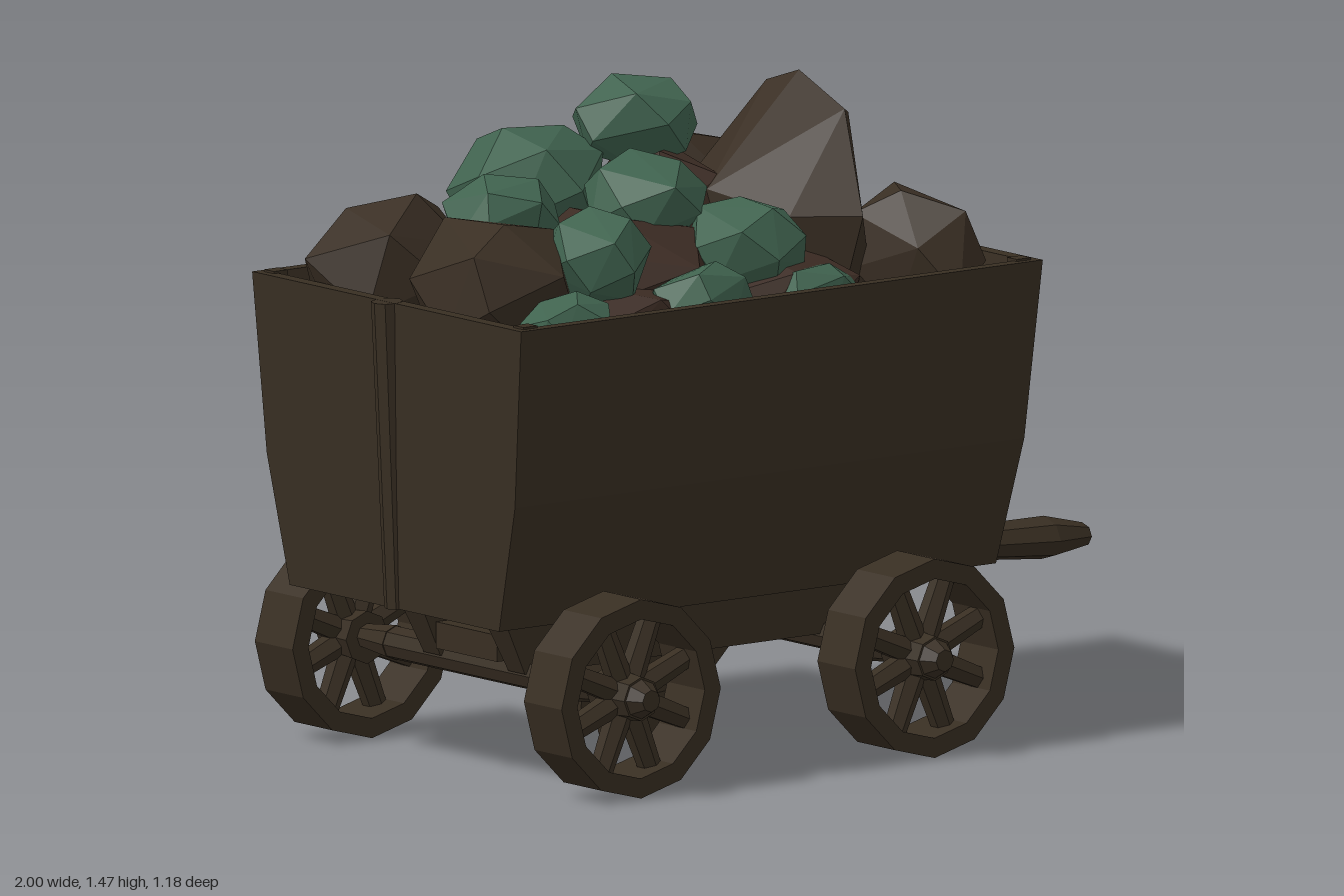
import * as THREE from 'three';
import { ConvexGeometry } from 'three/addons/geometries/ConvexGeometry.js';

function material(name, color) {
  const m = new THREE.MeshStandardMaterial({ color });
  m.name = name;
  return m;
}
const wood = material('dark wood', 0x382e22);
const stone = material('brown stone', 0x392e23);
const earth = material('reddish rubble', 0x3b2b23);
const ore = material('green ore', 0x40634f);

// Faceted mesh: hard edges through split vertices
function part(name, geometry, mat, parent) {
  const g = geometry.index ? geometry.toNonIndexed() : geometry;
  g.computeVertexNormals();
  const mesh = new THREE.Mesh(g, mat);
  mesh.name = name;
  parent.add(mesh);
  return mesh;
}

// Closed skin through rectangular rings [x0, x1, zBack, zFront, y]
function loft(rings) {
  const pos = [];
  const loops = rings.map(([x0, x1, zb, zf, y]) =>
    [[x0, y, zf], [x1, y, zf], [x1, y, zb], [x0, y, zb]]);
  const quad = (a, b, c, d) => [a, b, c, a, c, d].forEach((p) => pos.push(...p));
  for (let i = 0; i < loops.length - 1; i++) {
    for (let j = 0; j < 4; j++) {
      const k = (j + 1) % 4;
      quad(loops[i][j], loops[i][k], loops[i + 1][k], loops[i + 1][j]);
    }
  }
  const first = loops[0], last = loops[loops.length - 1];
  quad(first[3], first[2], first[1], first[0]);
  quad(...last);
  const g = new THREE.BufferGeometry();
  g.setAttribute('position', new THREE.Float32BufferAttribute(pos, 3));
  return g;
}

// Round bar between two points
function bar(a, b, ra, rb, sides = 8) {
  const A = new THREE.Vector3(...a), B = new THREE.Vector3(...b);
  const d = B.clone().sub(A);
  const g = new THREE.CylinderGeometry(rb, ra, d.length(), sides);
  g.applyQuaternion(new THREE.Quaternion().setFromUnitVectors(
    new THREE.Vector3(0, 1, 0), d.normalize()));
  const m = A.add(B).multiplyScalar(0.5);
  return g.translate(m.x, m.y, m.z);
}

function seeded(seed) {
  let s = seed * 7919 + 17;
  return () => (s = (s * 16807) % 2147483647) / 2147483647;
}

// Chunky boulder: hull of jittered points spread over an ellipsoid
function rock(seed, [x, y, z], [rx, ry, rz]) {
  const rnd = seeded(seed), pts = [], n = 16, turn = rnd() * 6;
  for (let i = 0; i < n; i++) {
    const v = 1 - 2 * (i + 0.5) / n, a = i * 2.4 + turn + rnd() * 0.5;
    const h = Math.sqrt(1 - v * v), r = 1.02 + rnd() * 0.18;
    pts.push(new THREE.Vector3(h * Math.cos(a) * rx * r, v * ry * r, h * Math.sin(a) * rz * r));
  }
  return new ConvexGeometry(pts).translate(x, y, z);
}

// Half depth of the back wall at a height
const wallZ = (y) => y > 0.68 ? 0.44 + (y - 0.68) * 0.1 : 0.37 + (y - 0.39) * 0.241;

function makeWheel() {
  const wheel = new THREE.Group();
  const section = [[0.18, -0.068], [0.225, -0.068], [0.225, 0.068], [0.18, 0.068], [0.18, -0.068]]
    .map((p) => new THREE.Vector2(...p));
  part('rim', new THREE.LatheGeometry(section, 12).rotateX(Math.PI / 2), wood, wheel);
  for (let i = 0; i < 8; i++) {
    const a = (i + 0.5) * Math.PI / 4, c = Math.cos(a), s = Math.sin(a);
    part('spoke', bar([c * 0.02, s * 0.02, 0.01], [c * 0.195, s * 0.195, 0.01], 0.032, 0.026, 6), wood, wheel);
  }
  part('hub', bar([0, 0, -0.05], [0, 0, 0.07], 0.06, 0.05), wood, wheel);
  part('hubCap', bar([0, 0, 0.07], [0, 0, 0.105], 0.045, 0.025), wood, wheel);
  return wheel;
}

export function createModel() {
  const cart = new THREE.Group();
  cart.name = 'oreCart';

  // Open body with flared walls
  part('body', loft([
    [-0.95, 0.455, -0.37, 0.385, 0.39],
    [-0.96, 0.48, -0.44, 0.455, 0.68],
    [-0.97, 0.505, -0.48, 0.49, 1.085],
    [-0.937, 0.472, -0.45, 0.46, 1.085],
    [-0.93, 0.46, -0.425, 0.435, 0.95],
  ]), wood, cart);

  // Posts on the end walls and at the inner corners
  part('endPost', bar([0.44, 0.37, 0], [0.495, 1.085, 0], 0.033, 0.036), wood, cart);
  part('endPost', bar([-0.935, 0.39, 0], [-0.965, 1.085, 0], 0.03, 0.036), wood, cart);
  for (const x of [-0.93, 0.465]) for (const z of [-0.445, 0.455]) {
    part('cornerPost', new THREE.BoxGeometry(0.04, 0.14, 0.035).translate(x, 1.02, z), wood, cart);
  }

  // Splintered boards on the back wall
  const boards = [
    [[0.35, 1.03], [0.2, 1.0], [-0.04, 0.79], [0.09, 0.69], [0.24, 0.83]],
    [[0.2, 0.68], [0.0, 0.68], [-0.25, 0.5]],
  ];
  for (const outline of boards) {
    const shape = new THREE.Shape(outline.map((p) => new THREE.Vector2(...p)));
    const g = new THREE.ExtrudeGeometry(shape, { depth: 0.02, bevelEnabled: false });
    const p = g.attributes.position;
    for (let i = 0; i < p.count; i++) p.setZ(i, p.getZ(i) - wallZ(p.getY(i)) - 0.012);
    part('splinteredBoard', g, wood, cart);
  }

  // Underframe rails, cross boards and axles
  for (const z of [-0.15, 0.155]) {
    part('frameRail', loft([
      [-0.72, 0.19, z - 0.03, z + 0.03, 0.24],
      [-0.8, 0.28, z - 0.042, z + 0.042, 0.4],
    ]), wood, cart);
  }
  for (const x of [-0.68, 0.15]) {
    part('axleBlock', new THREE.BoxGeometry(0.12, 0.06, 0.22).translate(x, 0.29, 0), wood, cart);
    part('axle', bar([x, 0.235, -0.34], [x, 0.235, 0.34], 0.038, 0.038), wood, cart);
    for (const side of [-1, 1]) {
      part('axleEnd', bar([x, 0.235, side * 0.33], [x, 0.235, side * 0.46], 0.04, 0.026), wood, cart);
      const wheel = makeWheel();
      wheel.name = 'wheel';
      wheel.position.set(x, 0.232, side * 0.485);
      if (side < 0) wheel.rotation.y = Math.PI;
      cart.add(wheel);
    }
  }

  // Brake bracket with three prongs under the middle
  part('brakeBracket', loft([
    [-0.36, -0.21, -0.1, 0.1, 0.13],
    [-0.38, -0.2, -0.11, 0.11, 0.24],
    [-0.42, -0.12, -0.09, 0.09, 0.34],
  ]), wood, cart);
  for (const [z, dz] of [[0.08, 0.01], [-0.015, 0], [-0.09, -0.02]]) {
    part('brakeProng', loft([
      [-0.345, -0.215, z + dz - 0.013, z + dz + 0.013, 0.035],
      [-0.36, -0.21, z - 0.024, z + 0.024, 0.14],
    ]), wood, cart);
  }

  // Pull handle
  const grip = [[0, 0], [0.04, 0], [0.028, 0.15], [0.034, 0.25], [0.046, 0.35], [0.057, 0.57], [0.032, 0.68], [0, 0.68]]
    .map((p) => new THREE.Vector2(...p));
  const handle = part('handle',
    new THREE.LatheGeometry(grip, 8).rotateZ(-Math.PI / 2).scale(1, 0.85, 1.15), wood, cart);
  handle.position.set(0.32, 0.375, 0);
  handle.rotation.z = -0.05;

  // Big leaning boulder on top of the heap
  const bigBoulder = [
    [0.2, 1.48, 0], [0.17, 1.45, -0.08], [0.18, 1.42, 0.19], [0.3, 1.38, 0.05], [0.31, 1.2, 0],
    [0.27, 1.2, -0.11], [-0.1, 1.25, 0.05], [-0.12, 1.18, -0.04], [0, 1.2, 0.22], [0.13, 1.2, 0.32],
    [0.1, 1, 0.28], [0.28, 1.05, 0.15], [-0.08, 1, 0.1], [0, 1.25, -0.13], [0.1, 1, -0.12],
  ].map((p) => new THREE.Vector3(...p));
  part('bigBoulder', new ConvexGeometry(bigBoulder), stone, cart);

  // Heaped load: centre and half sizes of each boulder
  const browns = [
    [[-0.75, 1.1, -0.26], [0.18, 0.16, 0.16]],
    [[-0.76, 1.1, 0.12], [0.17, 0.16, 0.19]],
    [[0.08, 1.15, -0.28], [0.19, 0.18, 0.15]],
    [[0.34, 1.06, -0.23], [0.13, 0.14, 0.17]],
    [[0.34, 1.07, 0.24], [0.13, 0.16, 0.18]],
    [[0.35, 1.03, 0], [0.11, 0.12, 0.13]],
  ];
  const rubble = [
    [[-0.4, 1.08, 0.1], [0.24, 0.16, 0.22]],
    [[-0.38, 1.07, -0.22], [0.22, 0.16, 0.18]],
    [[-0.1, 1.14, -0.08], [0.17, 0.18, 0.17]],
    [[-0.5, 1.01, 0.29], [0.2, 0.1, 0.12]],
    [[-0.05, 1.03, 0.27], [0.19, 0.1, 0.14]],
  ];
  const greens = [
    [[-0.39, 1.25, -0.22], [0.18, 0.14, 0.15]],
    [[-0.12, 1.38, -0.18], [0.14, 0.095, 0.13]],
    [[-0.62, 1.23, -0.02], [0.13, 0.1, 0.11]],
    [[-0.3, 1.25, 0.08], [0.13, 0.1, 0.13]],
    [[-0.57, 1.18, 0.26], [0.11, 0.1, 0.12]],
    [[-0.15, 1.16, 0.25], [0.13, 0.1, 0.12]],
    [[-0.74, 1.05, 0.36], [0.11, 0.07, 0.08]],
    [[-0.36, 1.07, 0.36], [0.13, 0.08, 0.08]],
    [[-0.04, 1.05, 0.36], [0.11, 0.07, 0.07]],
  ];
  browns.forEach(([c, r], i) => part('brownBoulder', rock(i + 3, c, r), stone, cart));
  rubble.forEach(([c, r], i) => part('rubble', rock(i + 21, c, r), earth, cart));
  greens.forEach(([c, r], i) => part('greenBoulder', rock(i + 41, c, r), ore, cart));
  return cart;
}
